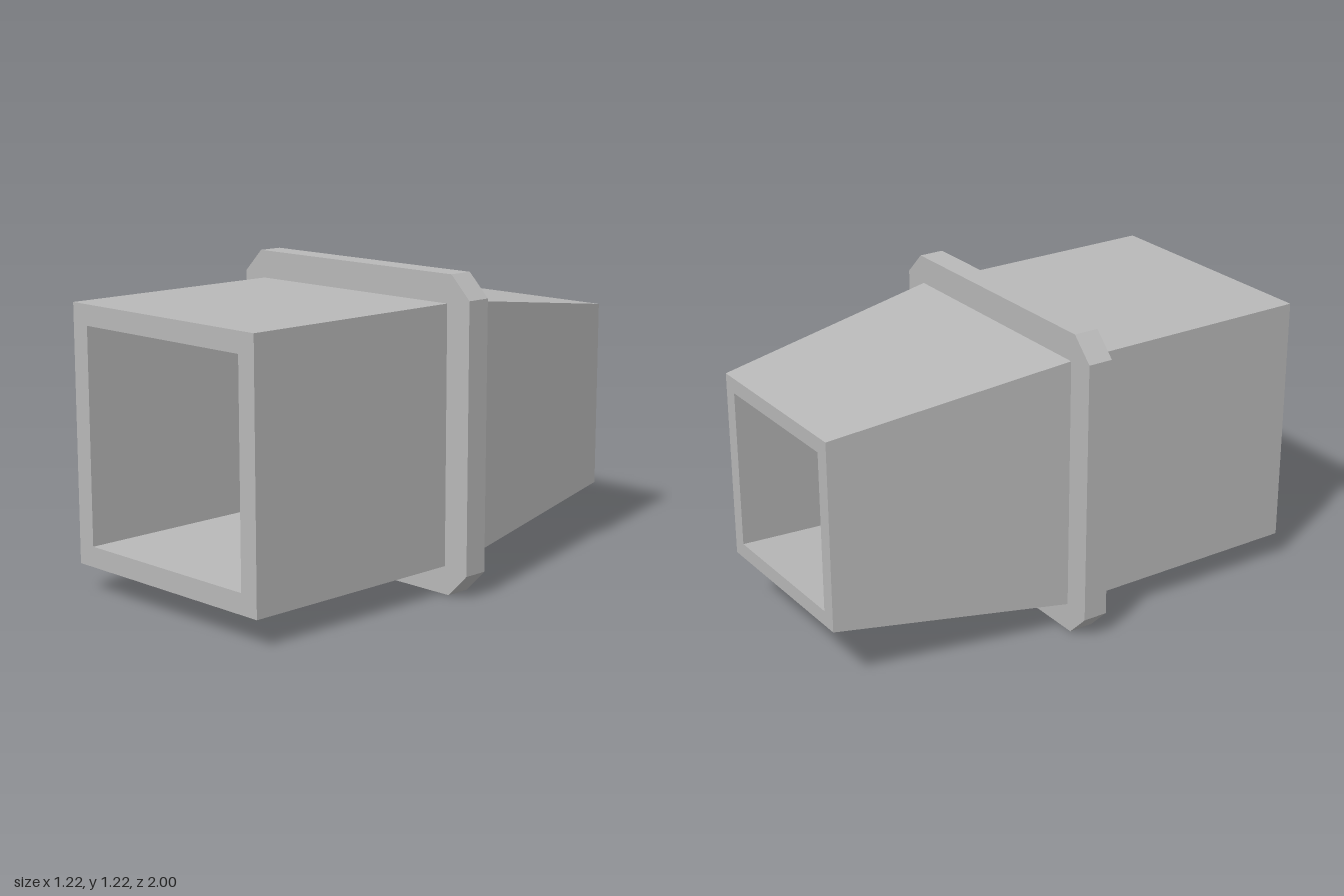
import * as THREE from 'three';

const CENTRE_Y = 0.61;

// Hollow square duct: a closed wall profile of [half width, z] swept round four sides
function squareTube(profile) {
  const points = profile.map(([half, z]) => new THREE.Vector2(half * Math.SQRT2, z));
  const geometry = new THREE.LatheGeometry(points, 4, Math.PI / 4).rotateX(Math.PI / 2).toNonIndexed();
  geometry.computeVertexNormals();
  return geometry;
}

// Square collar plate with cut corners and a square opening
function collarPlate(half, cut, hole, depth) {
  const c = half - cut;
  const corners = [[c, -half], [half, -c], [half, c], [c, half], [-c, half], [-half, c], [-half, -c], [-c, -half]];
  const shape = new THREE.Shape(corners.map(([x, y]) => new THREE.Vector2(x, y)));
  const opening = [[-hole, -hole], [-hole, hole], [hole, hole], [hole, -hole]];
  shape.holes.push(new THREE.Path(opening.map(([x, y]) => new THREE.Vector2(x, y))));
  return new THREE.ExtrudeGeometry(shape, { depth, bevelEnabled: false }).translate(0, 0, -depth / 2);
}

export function createModel() {
  const group = new THREE.Group();
  group.name = 'ductCoupling';
  const grey = new THREE.MeshStandardMaterial({ color: 0xb8b8b8 });
  grey.name = 'plain grey';

  const add = (name, geometry) => {
    const mesh = new THREE.Mesh(geometry, grey);
    mesh.name = name;
    mesh.position.y = CENTRE_Y;
    group.add(mesh);
  };

  // Straight front half and tapered back half share one continuous wall
  add('ductWall', squareTube([
    [0.375, -1], [0.5, -0.05], [0.5, 1],
    [0.42, 1], [0.42, -0.05], [0.315, -1], [0.375, -1],
  ]));

  // Collar around the middle, its opening buried in the wall
  add('collar', collarPlate(0.61, 0.09, 0.47, 0.1));

  return group;
}
